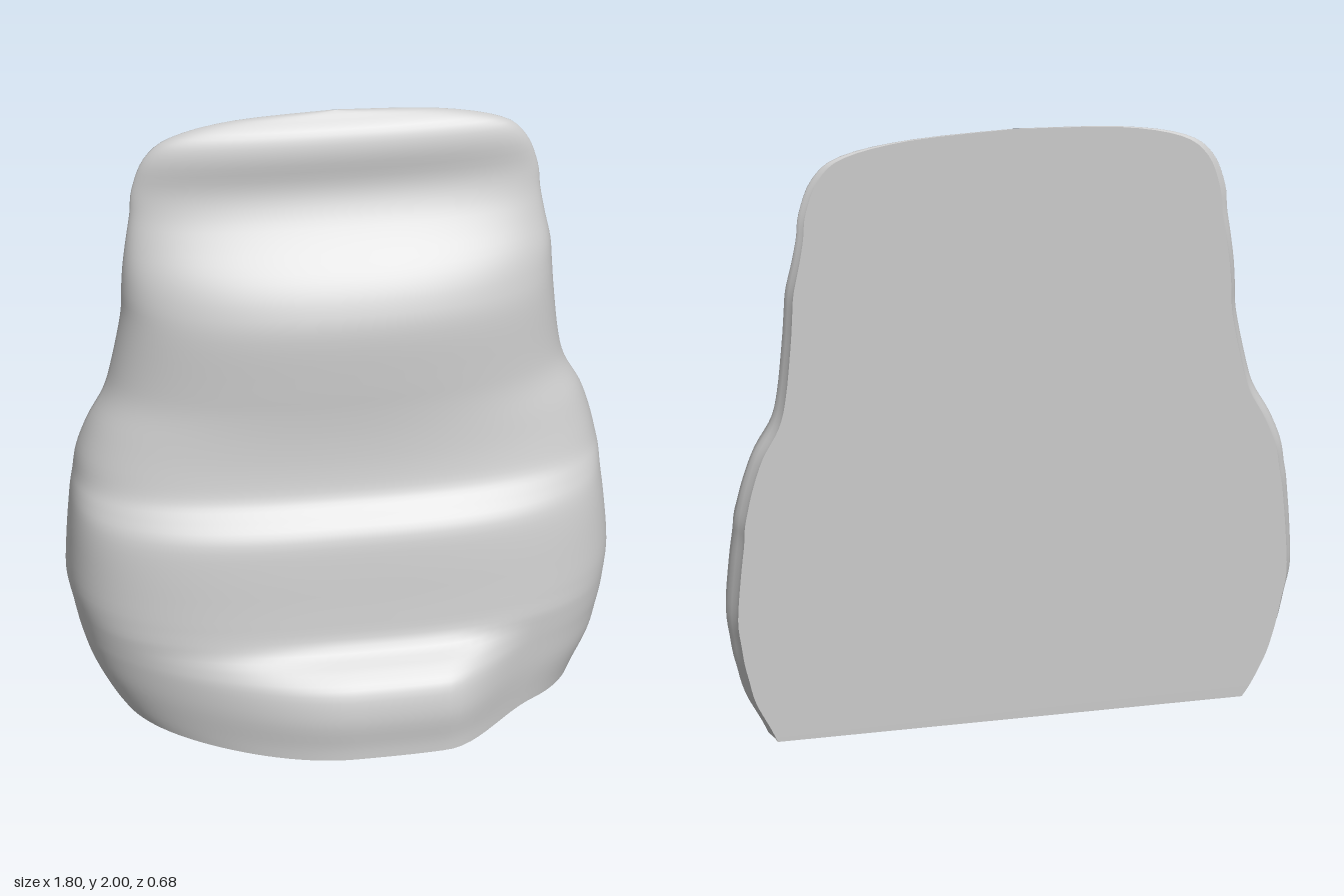
import * as THREE from 'three';

// Key levels: height, right half-width (-x), left half-width (+x), front depth at the middle
const LEVELS = [
  [0.00, 0.77, 0.79, 0.335], [0.05, 0.80, 0.81, 0.335], [0.15, 0.845, 0.855, 0.342],
  [0.24, 0.87, 0.875, 0.32], [0.29, 0.88, 0.885, 0.27], [0.35, 0.89, 0.892, 0.195],
  [0.45, 0.905, 0.90, 0.17], [0.60, 0.895, 0.885, 0.148], [0.71, 0.883, 0.87, 0.125],
  [0.77, 0.875, 0.865, 0.08], [0.82, 0.865, 0.855, 0.04], [0.90, 0.85, 0.835, 0.018],
  [1.00, 0.81, 0.80, 0.005], [1.10, 0.755, 0.745, 0], [1.20, 0.725, 0.72, 0],
  [1.36, 0.69, 0.70, -0.005], [1.45, 0.683, 0.692, -0.03], [1.53, 0.675, 0.685, -0.075],
  [1.62, 0.66, 0.665, -0.15], [1.70, 0.645, 0.65, -0.205], [1.78, 0.635, 0.64, -0.233],
  [1.88, 0.595, 0.60, -0.227], [1.945, 0.51, 0.52, -0.245], [1.985, 0.32, 0.32, -0.285],
  [2.00, 0.01, 0.01, -0.303],
];
const STEPS = 4, COLS = 80;
const { lerp, smoothstep, clamp } = THREE.MathUtils;

// Smooth value of all four columns at a fractional level index
function levelAt(t) {
  const i = Math.min(Math.floor(t), LEVELS.length - 2), f = t - i;
  const at = k => LEVELS[clamp(k, 0, LEVELS.length - 1)];
  return [0, 1, 2, 3].map(c => {
    const a = at(i - 1)[c], b = at(i)[c], d = at(i + 1)[c], e = at(i + 2)[c];
    const m0 = (d - a) / 2, m1 = (e - b) / 2;
    return (2 * b - 2 * d + m0 + m1) * f ** 3 + (3 * d - 3 * b - 2 * m0 - m1) * f * f + m0 * f + b;
  });
}

// One D-shaped cross-section, from -x round the front to +x
function section(t) {
  const [y, wr, wl, front] = levelAt(t);
  const back = lerp(-0.337, -0.308, y / 2);
  const base = y < 0.4 ? Math.min(front, 0.187) : front;
  const depth = Math.max(base - back, 0.003);
  const n = lerp(3, 2.35, smoothstep(y, 0.6, 1.2));
  const points = [];
  for (let j = 0; j <= COLS; j++) {
    const a = Math.PI * (1 - j / COLS);
    const c = Math.cos(a), s = j === 0 || j === COLS ? 0 : Math.sin(a);
    const r = (Math.abs(c) ** n + s ** n) ** (-1 / n);
    let x = c * r * (c < 0 ? wr : wl);
    const d = s * r;
    // edges tuck in slightly towards the flat back
    x *= 1 - 0.035 * (1 - smoothstep(d, 0, 0.15));
    // lower bulge: gentle on one side, steep on the other
    const bulge = smoothstep(x, -0.78, -0.02) * (1 - smoothstep(x, 0.27, 0.6));
    points.push(new THREE.Vector3(x, y, back + depth * d + (front - base) * bulge));
  }
  return points;
}

// Smooth surface through rows of points
function loft(name, rows, material) {
  const cols = rows[0].length, index = [];
  for (let i = 0; i < rows.length - 1; i++) {
    for (let j = 0; j < cols - 1; j++) {
      const a = i * cols + j, b = a + 1, d = a + cols, c = d + 1;
      index.push(a, b, c, a, c, d);
    }
  }
  const geometry = new THREE.BufferGeometry().setFromPoints(rows.flat());
  geometry.setIndex(index);
  geometry.computeVertexNormals();
  const mesh = new THREE.Mesh(geometry, material);
  mesh.name = name;
  return mesh;
}

export function createModel() {
  const group = new THREE.Group();
  group.name = 'contouredCushion';
  const material = new THREE.MeshStandardMaterial({ color: 0xcccccc, side: THREE.DoubleSide });

  const rows = [];
  const total = (LEVELS.length - 1) * STEPS;
  for (let i = 0; i <= total; i++) rows.push(section(i / STEPS));

  // padded front and rounded sides
  group.add(loft('contouredFront', rows, material));

  // flat back, joining the two ends of every section
  group.add(loft('flatBack', rows.map(r => [r[COLS], r[0]]), material));

  // flat underside
  const bottom = rows[0], first = bottom[0], last = bottom[COLS];
  const backEdge = bottom.map(p => {
    const f = clamp((p.x - first.x) / (last.x - first.x), 0, 1);
    return first.clone().lerp(last, f);
  });
  group.add(loft('underside', [backEdge, bottom], material));

  return group;
}
